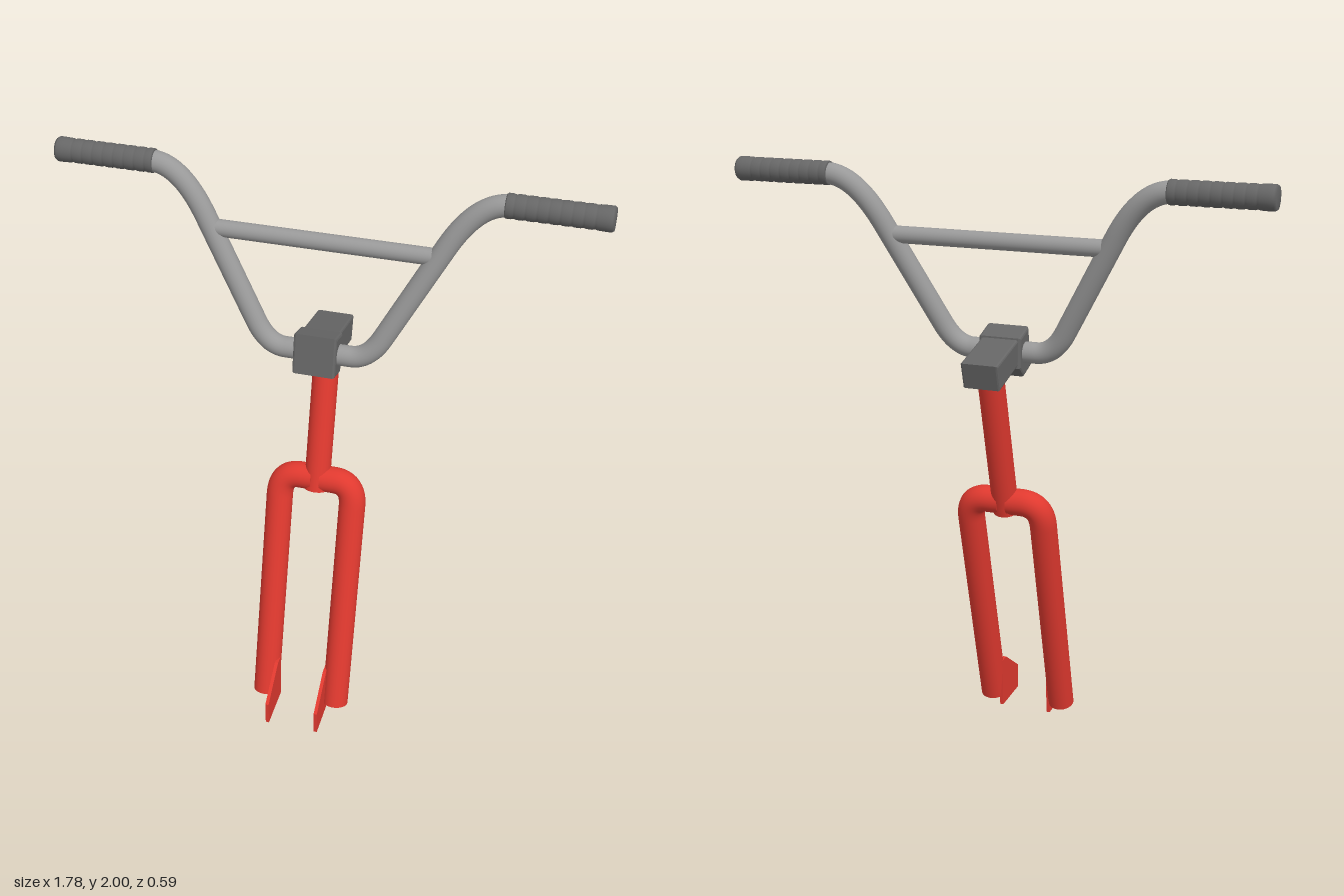
import * as THREE from 'three';

const mat = (color) => new THREE.MeshStandardMaterial({ color });
const red = mat(0xe0392f), steel = mat(0x999999), dark = mat(0x666666);
const V = (x, y, z) => new THREE.Vector3(x, y, z);

function add(parent, name, geometry, material) {
  const mesh = new THREE.Mesh(geometry, material);
  mesh.name = name;
  parent.add(mesh);
  return mesh;
}

// Polyline whose inner corners are rounded; radii gives the setback before/after each corner
function roundedPath(points, setbacks) {
  const path = new THREE.CurvePath();
  let last = points[0];
  for (let i = 1; i < points.length - 1; i++) {
    const [a, b] = setbacks[i - 1];
    const p = points[i];
    const start = p.clone().add(points[i - 1].clone().sub(p).setLength(a));
    const end = p.clone().add(points[i + 1].clone().sub(p).setLength(b));
    path.add(new THREE.LineCurve3(last, start));
    path.add(new THREE.QuadraticBezierCurve3(start, p, end));
    last = end;
  }
  path.add(new THREE.LineCurve3(last, points[points.length - 1]));
  return path;
}

// Tube with flat caps on both ends
function cappedTube(parent, name, path, radius, segments, material) {
  const group = new THREE.Group();
  group.name = name;
  parent.add(group);
  add(group, name + 'Tube', new THREE.TubeGeometry(path, segments, radius, 24), material);
  for (const t of [0, 1]) {
    const cap = add(group, name + 'Cap', new THREE.CircleGeometry(radius, 24), material);
    const normal = path.getTangent(t).multiplyScalar(t ? 1 : -1);
    cap.position.copy(path.getPoint(t));
    cap.quaternion.setFromUnitVectors(V(0, 0, 1), normal);
  }
}

// Side profile given as [z, y] pairs, extruded across x and centred on x = 0
function sidePlate(profile, width, bevel) {
  const shape = new THREE.Shape(profile.map(([z, y]) => new THREE.Vector2(z, y)));
  const geo = new THREE.ExtrudeGeometry(shape, {
    depth: width - 2 * bevel, bevelEnabled: bevel > 0, bevelSize: bevel,
    bevelThickness: bevel, bevelOffset: -bevel, bevelSegments: 2,
  });
  geo.translate(0, 0, -(width - 2 * bevel) / 2);
  geo.rotateY(-Math.PI / 2);
  return geo;
}

// Raked planes of the fork and of the handlebar
const forkPoint = (x, y) => V(x, y, 0.178 - 0.275 * y);
const barPoint = (x, y) => V(x, y, -0.062 - 0.18 * (y - 1.4));

export function createModel() {
  const model = new THREE.Group();
  model.name = 'forkAndHandlebar';

  // Fork: steerer, bent legs and axle plates
  const fork = new THREE.Group();
  fork.name = 'fork';
  model.add(fork);
  cappedTube(fork, 'steerer', new THREE.LineCurve3(forkPoint(0, 0.84), forkPoint(0, 1.37)), 0.044, 1, red);
  for (const s of [1, -1]) {
    const side = s > 0 ? 'left' : 'right';
    const leg = roundedPath(
      [forkPoint(0.015 * s, 0.878), forkPoint(0.13 * s, 0.878), forkPoint(0.13 * s, 0.038)],
      [[0.07, 0.085]]);
    cappedTube(fork, side + 'Leg', leg, 0.046, 100, red);
    const plate = add(fork, side + 'Dropout', sidePlate(
      [[0.297, 0], [0.297, 0.09], [0.17, 0.18], [0.13, 0.18], [0.14, 0]], 0.012, 0), red);
    plate.position.x = 0.09 * s;
  }

  // Stem: body over the steerer and a wider clamp around the bar
  const stem = new THREE.Group();
  stem.name = 'stem';
  model.add(stem);
  add(stem, 'stemBody', sidePlate(
    [[-0.04, 1.465], [-0.297, 1.408], [-0.272, 1.322], [-0.115, 1.36], [-0.04, 1.36]], 0.126, 0.007), dark);
  add(stem, 'barClamp', sidePlate(
    [[-0.03, 1.478], [-0.11, 1.455], [-0.115, 1.355], [-0.075, 1.32], [-0.002, 1.343]], 0.144, 0.008), dark);

  // Handlebar: one bent tube with a cross brace
  const bar = new THREE.Group();
  bar.name = 'handlebar';
  model.add(bar);
  const half = [[0.17, 1.4], [0.475, 1.96], [0.86, 1.96]];
  const points = [
    ...half.slice().reverse().map(([x, y]) => barPoint(-x, y)),
    ...half.map(([x, y]) => barPoint(x, y)),
  ];
  const barPath = roundedPath(points, [[0.1, 0.18], [0.09, 0.06], [0.06, 0.09], [0.18, 0.1]]);
  cappedTube(bar, 'bar', barPath, 0.035, 260, steel);
  cappedTube(bar, 'crossBrace', new THREE.LineCurve3(barPoint(-0.365, 1.77), barPoint(0.365, 1.77)), 0.028, 1, steel);

  // Grips: ribbed sleeves with a rounded end
  const profile = [[0, 0], [0.036, 0], [0.039, 0.004]];
  for (let i = 0; i < 8; i++) {
    const y = 0.02 + i * 0.035;
    profile.push([0.039, y], [0.037, y + 0.005], [0.037, y + 0.01], [0.039, y + 0.015]);
  }
  profile.push([0.04, 0.305], [0.04, 0.322], [0.035, 0.33], [0, 0.33]);
  const gripGeo = new THREE.LatheGeometry(profile.map(([r, y]) => new THREE.Vector2(r, y)), 28);
  for (const s of [1, -1]) {
    const grip = add(model, s > 0 ? 'leftGrip' : 'rightGrip', gripGeo, dark);
    grip.position.copy(barPoint(0.56 * s, 1.96));
    grip.rotation.z = -s * Math.PI / 2;
  }

  return model;
}
